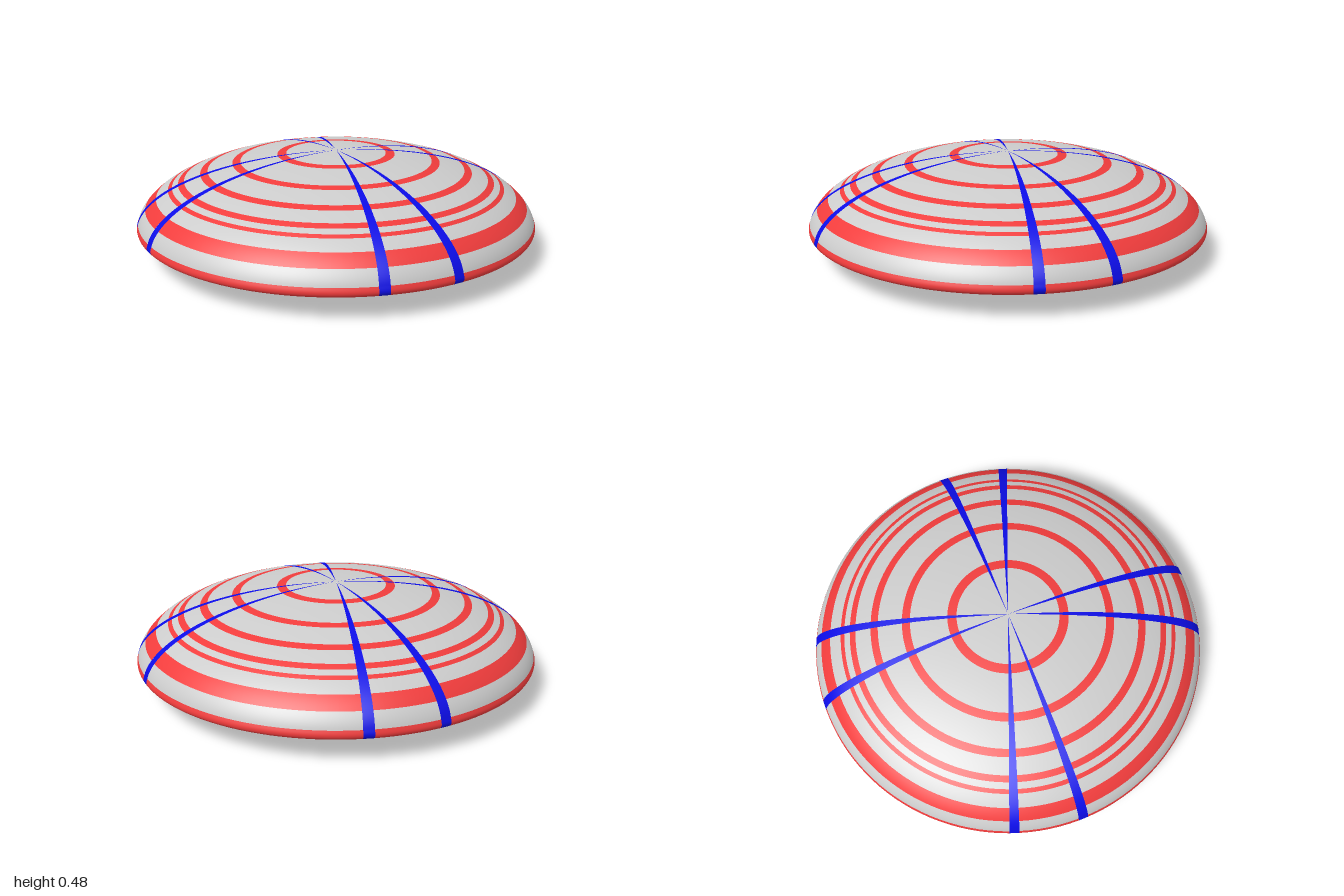
import * as THREE from 'three';
import { mergeGeometries } from 'three/addons/utils/BufferGeometryUtils.js';

const SEGMENTS = 128;
const STEP = (Math.PI * 2) / SEGMENTS;
const V = (x, y) => new THREE.Vector2(x, y);

const grey = new THREE.MeshStandardMaterial({ color: 0xcccccc });
const red = new THREE.MeshStandardMaterial({ color: 0xf03c3c });
const blue = new THREE.MeshStandardMaterial({ color: 0x0c0ce6 });

// Segment ranges: two one-segment stripes per quadrant, panels between them
const stripeArcs = [];
const panelArcs = [];
for (let q = 0; q < SEGMENTS; q += 32) {
  stripeArcs.push([q + 12, 1], [q + 19, 1]);
  panelArcs.push([q + 13, 6], [q + 20, 24]);
}

// Revolve a bottom-to-top profile through each of the given ranges
function revolve(name, points, arcs, material) {
  const parts = arcs.map(([start, count]) =>
    new THREE.LatheGeometry(points, count, start * STEP, count * STEP));
  const mesh = new THREE.Mesh(mergeGeometries(parts), material);
  mesh.name = name;
  return mesh;
}

// Sample a profile rule between two parameters
function sample(rule, from, to, steps) {
  return Array.from({ length: steps + 1 }, (_, i) => rule(from + ((to - from) * i) / steps));
}

// Dome is half an ellipse, given by its angle
const domeRule = (t) => V(Math.max(0, Math.cos(t)), 0.12 + 0.36 * Math.sin(t));

// Nearly flat underside, rising a little towards the bulb, given by radius
const undersideRule = (r) => V(r, 0.11 + 0.02 * Math.pow(Math.max(0, (0.5 - r) / 0.328), 2));

// Bulb is part of a sphere, given by the angle from its lowest point
const bulbRule = (a) => V(0.179 * Math.sin(a), 0.179 * (1 - Math.cos(a)));

export function createModel() {
  const model = new THREE.Group();
  model.name = 'stripedDisc';

  // Dome: grey and red rings alternate from the rim to the crown
  const dome = new THREE.Group();
  dome.name = 'dome';
  const domeRadii = [0.9938, 0.955, 0.9, 0.84, 0.82, 0.79, 0.76, 0.68, 0.643, 0.52, 0.48, 0.295, 0.25, 0];
  for (let i = 0; i < domeRadii.length - 1; i++) {
    const points = sample(domeRule, Math.acos(domeRadii[i]), Math.acos(domeRadii[i + 1]), 8);
    const isRed = i % 2 === 1;
    dome.add(revolve(isRed ? 'domeRedRing' : 'domeGreyRing', points, panelArcs, isRed ? red : grey));
  }
  const domeProfile = sample(domeRule, Math.acos(domeRadii[0]), Math.PI / 2, 64);
  dome.add(revolve('domeStripes', domeProfile, stripeArcs, blue));
  model.add(dome);

  // Rounded red rim
  const rimProfile = new THREE.SplineCurve([
    V(0.955, 0.11), V(0.98, 0.113), V(0.996, 0.124), V(1, 0.14), V(0.9938, 0.16),
  ]).getPoints(16);
  rimProfile[16].copy(domeProfile[0]);
  model.add(revolve('rim', rimProfile, panelArcs, red));
  model.add(revolve('rimStripes', rimProfile, stripeArcs, blue));

  // Underside with one wide red ring
  const underside = new THREE.Group();
  underside.name = 'underside';
  const underRadii = [0.172, 0.59, 0.753, 0.955];
  for (let i = 0; i < 3; i++) {
    const points = sample(undersideRule, underRadii[i], underRadii[i + 1], 12);
    underside.add(revolve(i === 1 ? 'undersideRedRing' : 'undersideGreyRing', points, panelArcs, i === 1 ? red : grey));
  }
  underside.add(revolve('undersideStripes', sample(undersideRule, 0.172, 0.955, 36), stripeArcs, blue));
  model.add(underside);

  // Bulb hanging under the centre
  const bulbProfile = sample(bulbRule, 0, Math.acos(1 - 0.13 / 0.179), 20);
  model.add(revolve('bulb', bulbProfile, panelArcs, grey));
  model.add(revolve('bulbStripes', bulbProfile, stripeArcs, blue));

  return model;
}
